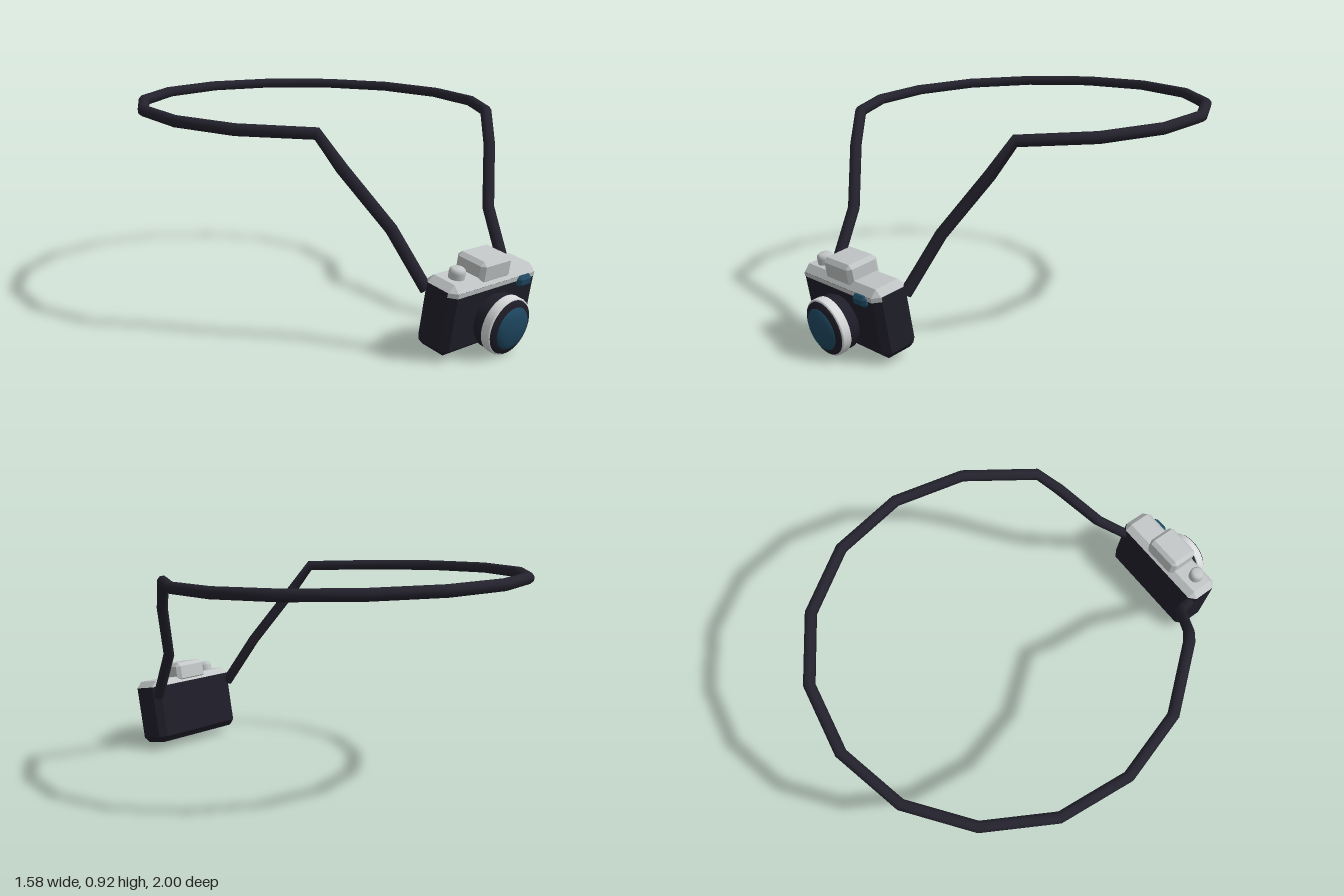
import * as THREE from 'three';

const mat = (name, color) => {
  const m = new THREE.MeshStandardMaterial({ color });
  m.name = name;
  return m;
};

// Box with flat 45 degree chamfers. Group 1 holds the faces that look upward, group 0 the rest.
function chamferBox(w, h, d, b) {
  const half = [w / 2, h / 2, d / 2];
  const pos = [[], []];
  const signs = [-1, 1];
  for (let i = -1; i < 2; i++) for (let j = -1; j < 2; j++) for (let k = -1; k < 2; k++) {
    const n = [i, j, k];
    if (!i && !j && !k) continue;
    // corners of the face whose outward direction is n
    const pts = [];
    for (let a = 0; a < 3; a++) {
      if (!n[a]) continue;
      for (const sx of signs) for (const sy of signs) for (const sz of signs) {
        const s = [sx, sy, sz];
        if (s.some((v, q) => n[q] && n[q] !== v)) continue;
        pts.push(new THREE.Vector3(...s.map((v, q) => v * (half[q] - (q === a ? 0 : b)))));
      }
    }
    // order them counter-clockwise around n
    const centre = pts.reduce((c, p) => c.add(p), new THREE.Vector3()).divideScalar(pts.length);
    const normal = new THREE.Vector3(...n).normalize();
    const u = pts[0].clone().sub(centre).normalize();
    const v = normal.clone().cross(u);
    const angle = (p) => {
      const r = p.clone().sub(centre);
      return Math.atan2(r.dot(v), r.dot(u));
    };
    const ring = pts.map((p) => ({ p, t: angle(p) })).sort((x, y) => x.t - y.t).map((o) => o.p);
    for (let t = 1; t < ring.length - 1; t++) {
      for (const p of [ring[0], ring[t], ring[t + 1]]) pos[j > 0 ? 1 : 0].push(p.x, p.y, p.z);
    }
  }
  const g = new THREE.BufferGeometry();
  g.setAttribute('position', new THREE.Float32BufferAttribute([...pos[0], ...pos[1]], 3));
  g.addGroup(0, pos[0].length / 3, 0);
  g.addGroup(pos[0].length / 3, pos[1].length / 3, 1);
  g.computeVertexNormals();
  return g;
}

// Curve with straight runs between the given points
class Polyline extends THREE.Curve {
  constructor(points) {
    super();
    this.points = points;
  }
  getPoint(t, target = new THREE.Vector3()) {
    const f = t * (this.points.length - 1);
    const i = Math.min(Math.floor(f), this.points.length - 2);
    return target.lerpVectors(this.points[i], this.points[i + 1], f - i);
  }
  getPointAt(t, target) { return this.getPoint(t, target); }
  getTangentAt(t, target) { return this.getTangent(t, target); }
}

export function createModel() {
  const black = mat('black leather', 0x1f1e29);
  const strapMat = mat('strap black', 0x24222d);
  const silver = mat('silver', 0xc2c6c6);
  const rimMat = mat('bright rim', 0xd8dadb);
  const glass = mat('blue glass', 0x1f4963);

  const model = new THREE.Group();
  model.name = 'cameraOnStrap';
  const camera = new THREE.Group();
  camera.name = 'camera';
  camera.position.set(0, 0.176, 0.796);
  camera.rotation.x = 0.18;
  model.add(camera);

  const add = (parent, name, geo, material, x = 0, y = 0, z = 0) => {
    const m = new THREE.Mesh(geo, material);
    m.name = name;
    m.position.set(x, y, z);
    parent.add(m);
    return m;
  };

  // Body: black sides, silver top
  add(camera, 'body', chamferBox(0.51, 0.3, 0.164, 0.028), [black, silver]);

  // Silver band wrapping the upper front
  const plan = [[-0.257, 0.053], [-0.228, 0.084], [0.228, 0.084], [0.257, 0.053]];
  const band = [];
  for (let i = 0; i < 3; i++) {
    const [a, b] = [plan[i], plan[i + 1]];
    const [lo, hi] = [0.104, 0.123];
    band.push(a[0], lo, a[1], b[0], lo, b[1], b[0], hi, b[1]);
    band.push(a[0], lo, a[1], b[0], hi, b[1], a[0], hi, a[1]);
  }
  const bandGeo = new THREE.BufferGeometry();
  bandGeo.setAttribute('position', new THREE.Float32BufferAttribute(band, 3));
  bandGeo.computeVertexNormals();
  add(camera, 'topBand', bandGeo, silver);

  // Viewfinder hump, shutter button and small window
  add(camera, 'viewfinderHump', chamferBox(0.18, 0.095, 0.148, 0.017), silver, 0, 0.168, -0.002);
  const button = [[0, 0.05], [0.022, 0.05], [0.032, 0.042], [0.033, 0.03], [0.033, 0]]
    .reverse().map((p) => new THREE.Vector2(...p));
  add(camera, 'shutterButton', new THREE.LatheGeometry(button, 16), silver, -0.168, 0.143, 0.009);
  add(camera, 'frontWindow', chamferBox(0.08, 0.046, 0.036, 0.012), glass, 0.16, 0.1, 0.084);

  // Lens, turned about its axis and pointed forward
  const lens = new THREE.Group();
  lens.name = 'lens';
  lens.position.set(0, -0.028, 0);
  lens.rotation.x = Math.PI / 2;
  camera.add(lens);
  const lathe = (name, pts, material) =>
    add(lens, name, new THREE.LatheGeometry(pts.map((p) => new THREE.Vector2(...p)), 32), material);
  lathe('lensMount', [[0.105, 0.07], [0.105, 0.1], [0.105, 0.1], [0.116, 0.1]], black);
  lathe('lensBarrel', [[0.116, 0.1], [0.116, 0.135]], black);
  lathe('lensRim', [[0.112, 0.132], [0.119, 0.134], [0.121, 0.138], [0.121, 0.168], [0.119, 0.173], [0.113, 0.174]], rimMat);
  lathe('lensFrontRing', [[0.114, 0.172], [0.111, 0.181], [0.088, 0.188]], black);
  lathe('lensGlass', [[0.09, 0.186], [0.084, 0.195], [0.062, 0.203], [0.032, 0.208], [0, 0.21]], glass);

  // Neck strap: one half listed, the other mirrored
  const half = [
    [0.235, 0.265, 0.74], [0.29, 0.49, 0.6], [0.435, 0.73, 0.475], [0.495, 0.862, 0.4],
    [0.69, 0.868, 0.14], [0.768, 0.877, -0.16], [0.725, 0.886, -0.47],
    [0.56, 0.893, -0.735], [0.307, 0.898, -0.915],
  ];
  const path = [
    ...half,
    [0, 0.9, -0.977],
    ...half.map(([x, y, z]) => [-x, y, z]).reverse(),
  ].map((p) => new THREE.Vector3(...p));
  add(model, 'neckStrap', new THREE.TubeGeometry(new Polyline(path), path.length - 1, 0.025, 8), strapMat);

  return model;
}
